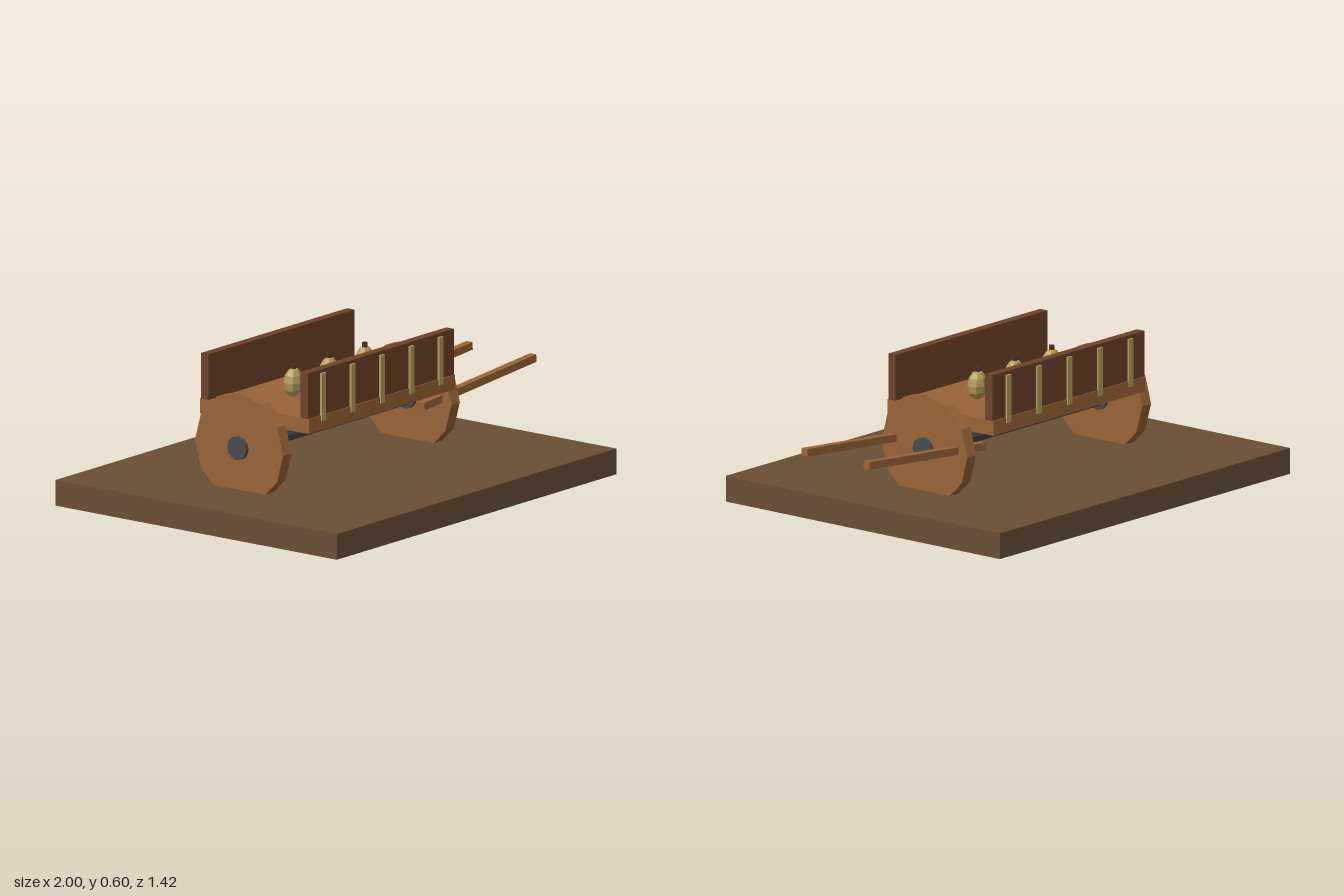
import * as THREE from 'three';

const mat = (color) => new THREE.MeshStandardMaterial({ color, flatShading: true });

export function createModel() {
  const group = new THREE.Group();
  const wood = mat(0x9a6438), darkWood = mat(0x6e422b), earth = mat(0x684f36);
  const metal = mat(0x454c50), straw = mat(0xb39c5a), cord = mat(0x4d301e);

  const add = (name, geometry, material, x, y, z) => {
    const mesh = new THREE.Mesh(geometry, material);
    mesh.name = name;
    mesh.position.set(x, y, z);
    group.add(mesh);
    return mesh;
  };
  const box = (w, h, d) => new THREE.BoxGeometry(w, h, d);
  // Cylinder lying along x
  const rod = (r, length) => new THREE.CylinderGeometry(r, r, length, 12).rotateZ(Math.PI / 2);

  const midX = -0.11, midZ = -0.043, axleY = 0.276;

  add('groundSlab', box(1.78, 0.105, 1.42), earth, -0.11, 0.0525, 0);

  // Axle, wheels and hubs
  add('axle', rod(0.032, 1.07), metal, midX, axleY, midZ);
  for (const side of [-1, 1]) {
    const x = midX + side * 0.536;
    add('wheel', rod(0.222, 0.054), wood, x, axleY, midZ);
    add('hub', rod(0.048, 0.086), metal, x, axleY, midZ);
  }

  // Cart bed with a ribbed board along each long side
  add('bed', box(0.93, 0.06, 0.55), wood, midX, 0.385, midZ);
  for (const side of [-1, 1]) {
    add('sideBoard', box(0.93, 0.187, 0.038), darkWood, midX, 0.508, midZ + side * 0.251);
    for (let i = -2; i <= 2; i++) {
      add('slat', box(0.026, 0.195, 0.018), straw, midX + i * 0.187, 0.49, midZ + side * 0.271);
    }
    // Pull shafts rising toward the handle end
    const shaft = add('shaft', box(0.714, 0.031, 0.031), wood, 0.642, 0.312, midZ + side * 0.161);
    shaft.rotation.z = 0.083;
  }

  // Tied sacks in a row on the bed
  for (let i = -1; i <= 1; i++) {
    const x = -0.096 + i * 0.227;
    const sack = add('sack', new THREE.SphereGeometry(1, 8, 6), straw, x, 0.475, -0.046);
    sack.scale.set(0.048, 0.06, 0.034);
    add('sackTie', new THREE.CylinderGeometry(0.012, 0.012, 0.022, 6), cord, x, 0.537, -0.046);
  }
  return group;
}
